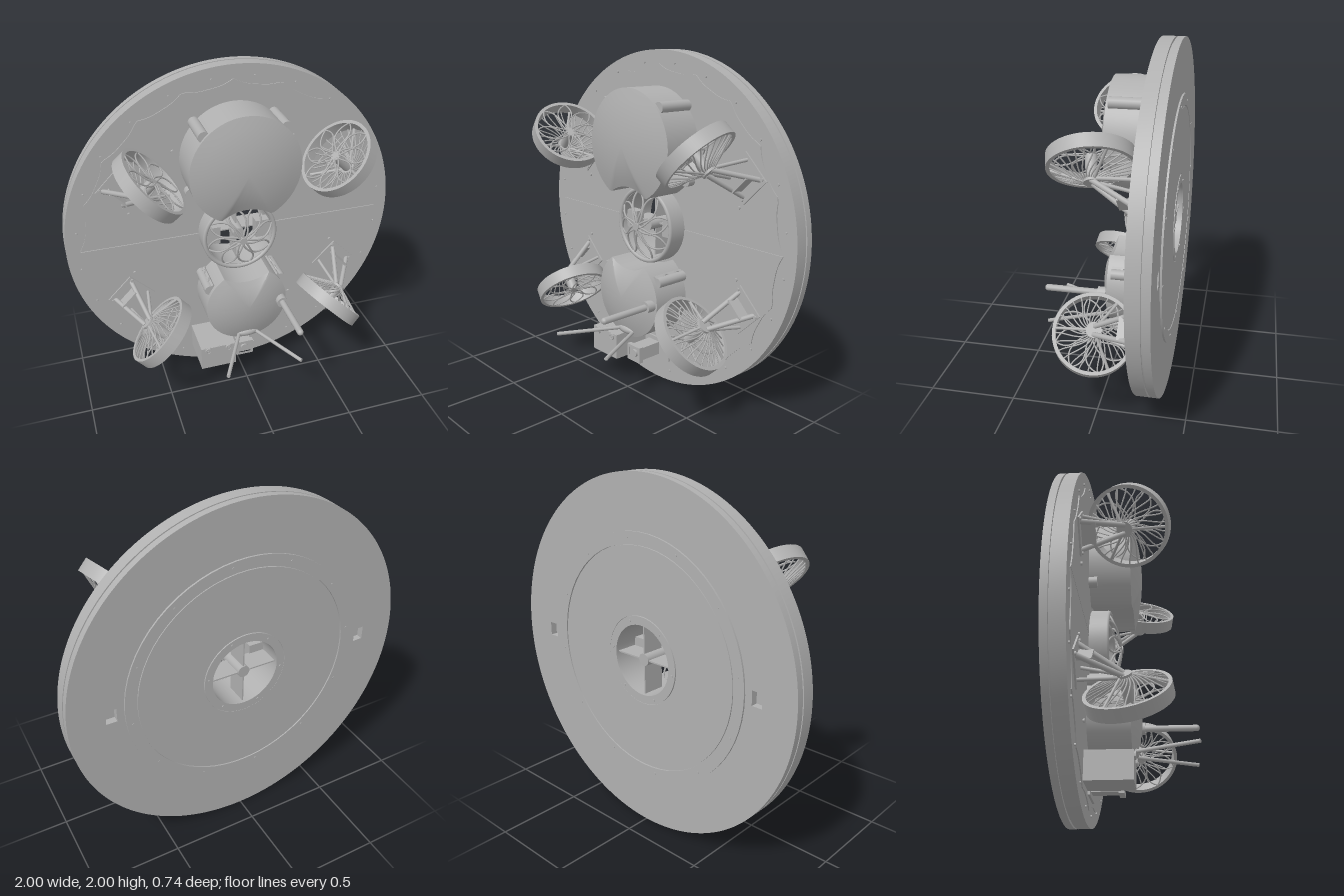
import * as THREE from 'three';
import { toCreasedNormals, mergeGeometries } from 'three/addons/utils/BufferGeometryUtils.js';

const grey = new THREE.MeshStandardMaterial({ color: 0xb0b0b0 });
grey.name = 'grey metal';
const CY = 1; // height of the disc centre
const FACE = -0.235; // z of the disc front

function add(parent, name, geo, x = 0, y = 0, z = 0) {
  const m = new THREE.Mesh(geo, grey);
  m.name = name;
  m.position.set(x, y, z);
  parent.add(m);
  return m;
}

const box = (w, h, d) => new THREE.BoxGeometry(w, h, d);
const cyl = (r, d, n = 20) => new THREE.CylinderGeometry(r, r, d, n).rotateX(Math.PI / 2);
const v = (x, y, z) => new THREE.Vector3(x, y, z);

// Straight round bar between two points
function rod(parent, name, a, b, r) {
  const m = add(parent, name, new THREE.CylinderGeometry(r, r, a.distanceTo(b), 12));
  m.position.copy(a).lerp(b, 0.5);
  m.quaternion.setFromUnitVectors(v(0, 1, 0), b.clone().sub(a).normalize());
  return m;
}

function extrude(shape, depth) {
  const g = new THREE.ExtrudeGeometry(shape, { depth, bevelEnabled: false, curveSegments: 96 });
  return toCreasedNormals(g, 0.5);
}

function circleShape(r, hole) {
  const s = new THREE.Shape();
  s.absarc(0, 0, r, 0, Math.PI * 2);
  if (hole) s.holes.push(new THREE.Path().absarc(0, 0, hole, 0, Math.PI * 2, true));
  return s;
}

function rectPath(x, y, w, h, Type = THREE.Path) {
  return new Type([[-1, -1], [-1, 1], [1, 1], [1, -1]].map(([a, b]) => new THREE.Vector2(x + a * w / 2, y + b * h / 2)));
}

// Ring of rectangular section around z
function band(rOut, rIn, z0, z1) {
  const pts = [[rOut, z0], [rOut, z1], [rIn, z1], [rIn, z0], [rOut, z0]].map(p => new THREE.Vector2(...p));
  return toCreasedNormals(new THREE.LatheGeometry(pts, 64).rotateX(Math.PI / 2), 0.5);
}

// Many thin wires whose path is given in polar form: f(t, i) -> [radius, angle, z]
function wires(count, f, r) {
  const all = [];
  for (let i = 0; i < count; i++) {
    const pts = [];
    for (let k = 0; k <= 8; k++) {
      const [rad, a, z] = f(k / 8, i);
      pts.push(v(rad * Math.cos(a), rad * Math.sin(a), z));
    }
    all.push(new THREE.TubeGeometry(new THREE.CatmullRomCurve3(pts), 14, r, 5));
  }
  return mergeGeometries(all);
}

// Petal-shaped guard: pairs of wires bulging both ways
function petals(rOut, z0, rise, r) {
  return wires(16, (t, i) => {
    const rad = 0.02 + (rOut - 0.02) * t;
    const bulge = (i % 2 ? 1 : -1) * 0.36 * Math.sin(Math.PI * t);
    return [rad, (i >> 1) * Math.PI / 4 + bulge + 0.3 * t, z0 + rise * (1 - (rad / rOut) ** 2)];
  }, r);
}

// Domed drum with a bite that leaves room for the centre duct
function drum(cy, R, side) {
  const N = 96, cut = 0.245, pos = [], idx = [];
  const rings = [[1, FACE], [1, 0], ...[1, 0.8, 0.6, 0.4, 0.2, 0].map(k => [k, 0.05 * (1 - k * k)])];
  for (const [k, z] of rings) {
    for (let i = 0; i < N; i++) {
      const a = i / N * Math.PI * 2, x = R * Math.cos(a);
      let y = cy - CY + R * Math.sin(a);
      if (x * x + y * y < cut * cut) y = side * Math.sqrt(cut * cut - x * x);
      pos.push(x * k, (y + CY - cy) * k, z);
    }
  }
  for (let j = 0; j < rings.length - 1; j++) {
    for (let i = 0; i < N; i++) {
      const n = (i + 1) % N, a = j * N + i, b = j * N + n;
      idx.push(a, b, b + N, a, b + N, a + N);
    }
  }
  const g = new THREE.BufferGeometry();
  g.setAttribute('position', new THREE.Float32BufferAttribute(pos, 3));
  g.setIndex(idx);
  return toCreasedNormals(g, 0.6);
}

function thruster(sx, sy) {
  const t = new THREE.Group();
  t.name = 'thruster';
  // Ring with petal grille inside and conical cage outside
  const fan = new THREE.Group();
  fan.name = 'thrusterFan';
  fan.position.set(sx * 0.53, CY + sy * 0.49, 0.01);
  fan.up.set(0, 0, 1);
  fan.lookAt(fan.position.clone().add(v(sx, -sy, -0.25)));
  add(fan, 'thrusterRing', band(0.222, 0.203, -0.035, 0.04));
  add(fan, 'thrusterPetalGuard', petals(0.207, -0.03, 0, 0.0045));
  add(fan, 'thrusterCage', wires(26, (s, i) => [0.207 - 0.172 * s, i / 26 * Math.PI * 2 + 0.7 * s * s, 0.03 + 0.075 * s], 0.004));
  add(fan, 'thrusterMotor', cyl(0.03, 0.14), 0, 0, 0.04);
  add(fan, 'thrusterHub', cyl(0.042, 0.02), 0, 0, 0.108);
  for (let i = 0; i < 3; i++) {
    const a = Math.PI / 2 + i * Math.PI * 2 / 3;
    rod(fan, 'cageSpoke', v(0.21 * Math.cos(a), 0.21 * Math.sin(a), 0.03), v(0.03 * Math.cos(a), 0.03 * Math.sin(a), 0.108), 0.008);
  }
  t.add(fan);
  // Foot and splayed bracket on the disc, +x pointing along the cage
  const m = new THREE.Group();
  m.name = 'thrusterMount';
  m.position.set(sx * 0.53, CY + sy * 0.49, 0);
  m.rotation.z = Math.atan2(-sy, sx);
  add(m, 'mountFoot', box(0.2, 0.2, 0.012), 0.18, 0, FACE + 0.006);
  for (const s of [-1, 1]) {
    rod(m, 'mountLeg', v(0.11, s * 0.022, -0.01), v(0.25, s * 0.075, FACE), 0.014);
    rod(m, 'mountBrace', v(0.1, s * 0.022, -0.02), v(0.12, s * 0.08, FACE), 0.01);
    add(m, 'mountBolt', cyl(0.01, 0.02, 10), 0.255, s * 0.088, FACE + 0.01);
  }
  add(m, 'mountWeb', box(0.012, 0.12, 0.08), 0.215, 0, -0.19);
  t.add(m);
  return t;
}

export function createModel() {
  const model = new THREE.Group();
  model.name = 'thrusterDisc';

  // Layered disc
  const back = circleShape(1, 0.2);
  for (const s of [-1, 1]) back.holes.push(rectPath(s * 0.77, 0, 0.06, 0.08));
  add(model, 'frontDisc', extrude(circleShape(1, 0.2), 0.073), 0, CY, -0.312);
  add(model, 'discGroove', extrude(circleShape(0.985, 0.2), 0.01), 0, CY, -0.322);
  add(model, 'backDisc', extrude(back, 0.039), 0, CY, -0.36);
  add(model, 'backOuterRing', band(0.7, 0.634, -0.37, -0.36), 0, CY);
  add(model, 'backPanel', band(0.628, 0.252, -0.368, -0.36), 0, CY);
  add(model, 'backFlange', band(0.248, 0.2, -0.371, -0.36), 0, CY);

  // Scalloped front cover in two halves with a seam between them
  for (const s of [1, -1]) {
    const half = new THREE.Shape();
    for (let i = 0; i <= 96; i++) {
      const a = i / 96 * Math.PI, r = 0.885 + 0.035 * (1 - Math.abs(Math.sin((a - Math.PI / 2) * 10))) ** 1.5;
      half.lineTo(r * Math.cos(a), r * Math.sin(a));
    }
    half.absarc(0, 0, 0.21, Math.PI, 0, true);
    const cover = add(model, 'frontCover', extrude(half, 0.006), 0, CY + s * 0.003, -0.238);
    if (s < 0) cover.rotation.z = Math.PI;
  }

  // Small bolts
  for (let i = 0; i < 24; i++) {
    const a = (i + 0.5) / 24 * Math.PI * 2;
    add(model, 'rimBolt', cyl(0.007, 0.008, 8), 0.935 * Math.cos(a), CY + 0.935 * Math.sin(a), FACE);
    if (i % 2) add(model, 'backBolt', cyl(0.007, 0.006, 8), 0.667 * Math.cos(a), CY + 0.667 * Math.sin(a), -0.37);
    if (i % 4 === 0) add(model, 'flangeBolt', cyl(0.008, 0.008, 8), 0.225 * Math.cos(a), CY + 0.225 * Math.sin(a), -0.371);
  }
  for (const x of [-1, 1]) {
    for (const y of [-1, 1]) {
      add(model, 'coverBolt', cyl(0.01, 0.014, 10), x * 0.625, CY + y * 0.2, FACE + 0.006);
      add(model, 'coverBolt', cyl(0.01, 0.014, 10), x * 0.355, CY + y * 0.55, FACE + 0.006);
      model.add(thruster(x, y));
    }
  }

  // Centre duct with domed guard, hub and deep fins
  add(model, 'centreDuct', band(0.228, 0.2, -0.36, -0.135), 0, CY);
  add(model, 'centreGuard', petals(0.21, -0.14, 0.07, 0.006), 0, CY);
  add(model, 'centreGuardRim', new THREE.TorusGeometry(0.215, 0.013, 10, 64), 0, CY, -0.135);
  add(model, 'centreHub', cyl(0.035, 0.2, 24), 0, CY, -0.255);
  add(model, 'guardCap', cyl(0.022, 0.02, 20), 0, CY, -0.07);
  for (let i = 0; i < 4; i++) {
    const fin = add(model, 'centreFin', box(0.4, 0.008, 0.13).scale(0.5, 1, 1).translate(0.11, 0, 0), 0, CY, -0.285);
    fin.rotation.z = i * Math.PI / 2;
  }
  for (const s of [-1, 1]) add(model, 'ductBlock', box(0.09, 0.11, 0.06), s * 0.155, CY, -0.2);

  // Drums and their lugs
  add(model, 'upperDrum', drum(1.48, 0.32, 1), 0, 1.48, 0);
  add(model, 'lowerDrum', drum(0.59, 0.25, -1), 0, 0.59, 0);
  for (const s of [-1, 1]) {
    add(model, 'upperDrumLug', cyl(0.032, 0.22), s * 0.23, 1.705, -0.125);
    add(model, 'upperDrumFoot', cyl(0.032, 0.05), s * 0.272, 1.295, -0.21);
    add(model, 'lowerDrumLug', box(0.06, 0.06, 0.21), s * 0.205, 0.715, -0.13).rotation.z = s * -0.7;
    add(model, 'lowerDrumLugEnd', cyl(0.03, 0.21), s * 0.222, 0.72, -0.13);
    for (const z of [-0.1, -0.19]) {
      const port = add(model, 'lugPort', band(0.026, 0.015, 0, 0.008), s * 0.222, 0.738, z);
      port.lookAt(s * 0.6, 1.1, z);
    }
  }
  add(model, 'lowerDrumFoot', cyl(0.032, 0.18), 0, 0.342, -0.145);

  // Mast and forked antenna
  rod(model, 'mast', v(0.21, 0.59, 0), v(0.21, 0.59, 0.35), 0.019);
  add(model, 'mastTip', new THREE.SphereGeometry(0.019, 16, 10), 0.21, 0.59, 0.35);
  add(model, 'mastCollar', cyl(0.034, 0.05), 0.21, 0.59, 0.03);
  for (const s of [-1, 1]) rod(model, 'antennaRod', v(s * 0.05, 0.375, 0), v(s * 0.225, 0.375, 0.355), 0.011);
  add(model, 'antennaBase', new THREE.SphereGeometry(0.04, 20, 12).scale(1.8, 0.7, 0.8), 0, 0.38, 0);

  // Instrument bracket, open towards the disc centre
  add(model, 'bracketFront', box(0.22, 0.155, 0.012), -0.19, 0.238, 0.014);
  add(model, 'bracketSide', box(0.012, 0.155, 0.25), -0.294, 0.238, -0.11);
  add(model, 'bracketSide', box(0.012, 0.155, 0.25), -0.086, 0.238, -0.11);
  add(model, 'bracketTop', box(0.22, 0.012, 0.25), -0.19, 0.31, -0.11);
  add(model, 'bracketFloor', box(0.22, 0.012, 0.25), -0.19, 0.166, -0.11);
  for (const x of [-0.255, -0.125]) {
    add(model, 'bracketScrew', band(0.022, 0.012, 0, 0.01), x, 0.295, 0.02);
    add(model, 'bracketScrewHead', cyl(0.009, 0.012, 6), x, 0.295, 0.024);
  }

  // Camera on a slotted plate
  const plate = rectPath(0, 0, 0.22, 0.13, THREE.Shape);
  plate.holes.push(rectPath(0.075, 0, 0.02, 0.08));
  add(model, 'cameraPlate', extrude(plate, 0.015), 0.02, 0.205, FACE);
  add(model, 'cameraBody', box(0.09, 0.08, 0.16), 0, 0.205, -0.14);
  add(model, 'cameraFrame', extrude((() => {
    const s = rectPath(0, 0, 0.11, 0.1, THREE.Shape);
    s.holes.push(rectPath(0, 0, 0.075, 0.065));
    return s;
  })(), 0.03), 0, 0.205, -0.075);
  add(model, 'cameraLens', cyl(0.024, 0.02), 0, 0.205, -0.055);

  return model;
}
